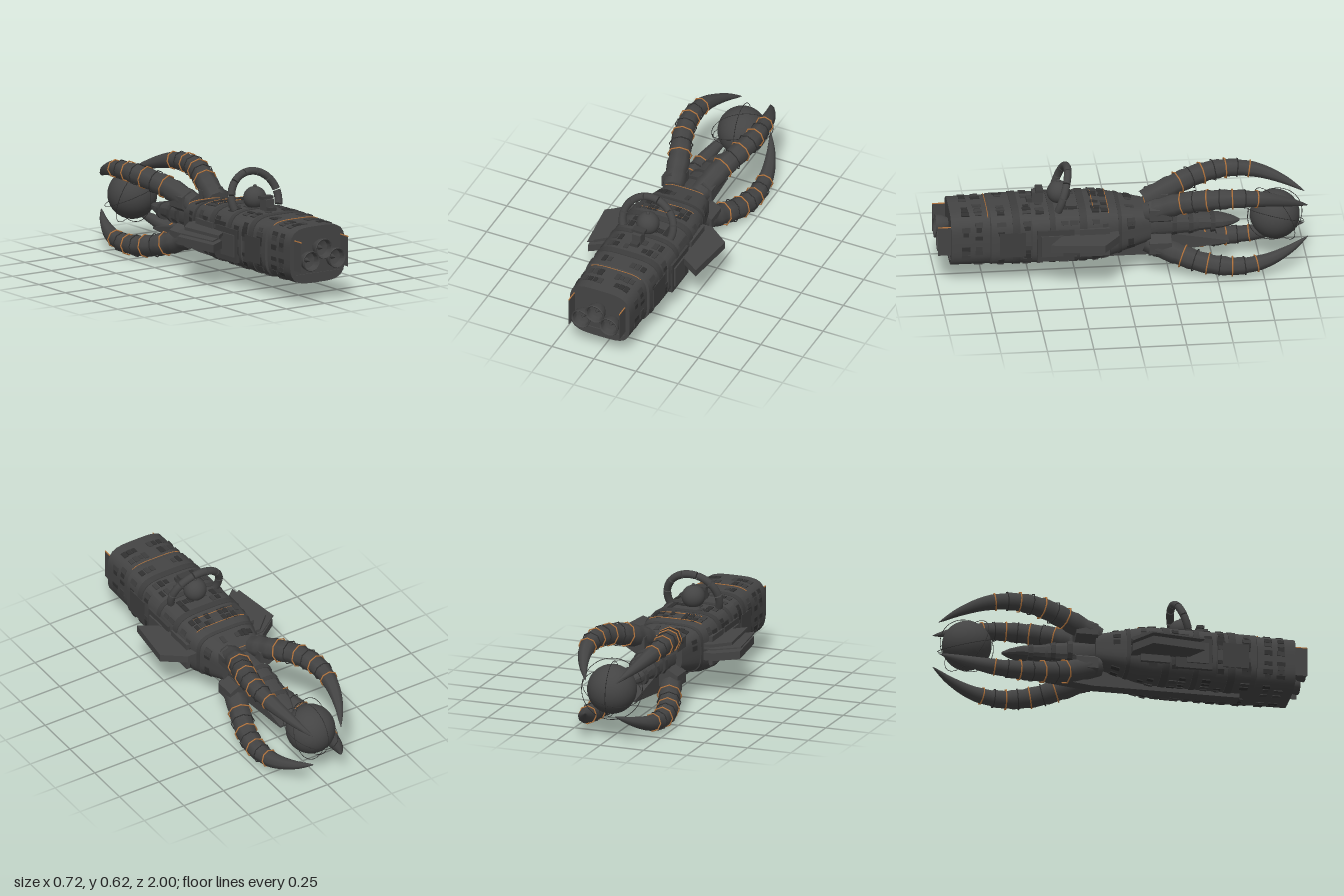
import * as THREE from 'three';
import { mergeGeometries, toCreasedNormals } from 'three/addons/utils/BufferGeometryUtils.js';

const mat = (name, color) => Object.assign(new THREE.MeshStandardMaterial({ color }), { name });
const hullGrey = mat('hull grey', 0x444444);
const plateGrey = mat('plate grey', 0x3d3d3d);
const darkGrey = mat('dark grey', 0x303030);
const copper = mat('copper', 0xb87840);
const AXIS = 0.262;

// Point on a rounded-square section [z, halfWidth, bottom, top]
function sectionPoint([z, w, yb, yt], a, n = 4, grow = 0) {
  const c = Math.cos(a), s = Math.sin(a);
  const k = 1 / Math.pow(Math.abs(c) ** n + Math.abs(s) ** n, 1 / n);
  return new THREE.Vector3((w + grow) * c * k, (yb + yt) / 2 + ((yt - yb) / 2 + grow) * s * k, z);
}

// Closed loft through sections ordered from high z to low z
function loft(sections, n = 4, sides = 40, crease = 0.5) {
  const pos = [], idx = [];
  for (const sec of sections)
    for (let j = 0; j < sides; j++) pos.push(...sectionPoint(sec, (j / sides) * Math.PI * 2, n).toArray());
  const last = (sections.length - 1) * sides, c0 = sections.length * sides;
  for (const sec of [sections[0], sections[sections.length - 1]]) pos.push(0, (sec[2] + sec[3]) / 2, sec[0]);
  for (let j = 0; j < sides; j++) {
    const k = (j + 1) % sides;
    for (let i = 0; i < last; i += sides)
      idx.push(i + j, i + sides + j, i + sides + k, i + j, i + sides + k, i + k);
    idx.push(c0, j, k, c0 + 1, last + k, last + j);
  }
  const g = new THREE.BufferGeometry();
  g.setAttribute('position', new THREE.Float32BufferAttribute(pos, 3));
  g.setIndex(idx);
  return toCreasedNormals(g, crease);
}

const HULL = [
  [0.93, 0.178, 0.106, 0.414], [0.72, 0.18, 0.105, 0.415], [0.715, 0.192, 0.104, 0.418],
  [0.5, 0.194, 0.104, 0.418], [0.495, 0.2, 0.105, 0.414], [0.15, 0.2, 0.108, 0.412],
  [0.08, 0.19, 0.12, 0.405], [-0.15, 0.13, 0.185, 0.362],
];

function hullSection(z) {
  let i = 0;
  while (i < HULL.length - 2 && HULL[i + 1][0] > z) i++;
  const t = (z - HULL[i][0]) / (HULL[i + 1][0] - HULL[i][0]);
  return HULL[i].map((v, k) => v + (HULL[i + 1][k] - v) * t);
}

// Thin box lying on the hull at angle a
function hullPlate(a, z, across, along, thick = 0.008) {
  const p = sectionPoint(hullSection(z), a);
  const du = sectionPoint(hullSection(z), a + 0.02).sub(p).normalize();
  const dz = sectionPoint(hullSection(z - 0.01), a).sub(p).normalize();
  const out = new THREE.Vector3().crossVectors(dz, du).normalize();
  if (out.x * Math.cos(a) + out.y * Math.sin(a) < 0) out.negate();
  const zz = new THREE.Vector3().crossVectors(du, out);
  const m = new THREE.Matrix4().makeBasis(du, out, zz).setPosition(p);
  return new THREE.BoxGeometry(across, thick, along).applyMatrix4(m);
}

export function createModel() {
  const root = new THREE.Group();
  const add = (name, geo, material, x = 0, y = 0, z = 0, parent = root) => {
    const m = new THREE.Mesh(geo, material);
    m.name = name;
    m.position.set(x, y, z);
    parent.add(m);
    return m;
  };
  const box = (name, w, h, d, material, x, y, z) => add(name, new THREE.BoxGeometry(w, h, d), material, x, y, z);

  // Hull and its raised belts
  add('hull', loft(HULL), hullGrey);
  for (const [z0, z1] of [[0.6, 0.56], [0.4, 0.37], [0.24, 0.2], [0.03, 0.01]]) {
    const belt = [z0, z1].map(z => { const [a, w, b, t] = hullSection(z); return [a, w + 0.005, b - 0.004, t + 0.004]; });
    add('hullBelt', loft(belt), plateGrey);
  }

  // Rows of small panels wrapped around the hull, seeded so some are skipped
  let seed = 7;
  const rnd = () => (seed = (seed * 16807) % 2147483647) / 2147483647;
  const light = [], dark = [];
  for (const z of [0.85, 0.78, 0.66, 0.52, 0.45, 0.32, 0.27, 0.15, 0.1, -0.04])
    for (let q = 0; q < 4; q++)
      for (const off of [-0.62, -0.48, -0.34, -0.2, 0.2, 0.34, 0.48, 0.62]) {
        if (rnd() < 0.3) continue;
        (rnd() < 0.5 ? light : dark).push(hullPlate(q * Math.PI / 2 + off, z, 0.02 + rnd() * 0.008, 0.03 + rnd() * 0.02));
      }
  add('hullPanels', mergeGeometries(light), plateGrey);
  add('hullWindows', mergeGeometries(dark), darkGrey);

  // Layered side armour
  for (const s of [-1, 1]) {
    box('sideArmour', 0.02, 0.18, 0.2, plateGrey, s * 0.2, 0.24, 0.37);
    box('sideArmour', 0.02, 0.16, 0.16, hullGrey, s * 0.202, 0.25, 0.16);
    box('sideArmourOuter', 0.016, 0.12, 0.12, hullGrey, s * 0.211, 0.24, 0.39);
    box('sideArmourRear', 0.014, 0.14, 0.14, plateGrey, s * 0.192, 0.25, 0.6);
  }

  // Copper trim lines arched over the hull
  for (const [z, half] of [[0.73, 0.75], [0.08, 0.72], [0.16, 0.55], [-0.13, 0.8]]) {
    const pts = Array.from({ length: 13 }, (_, i) =>
      sectionPoint(hullSection(z), Math.PI / 2 + half * (i / 6 - 1), 4, 0.003));
    add('copperTrim', new THREE.TubeGeometry(new THREE.CatmullRomCurve3(pts), 24, 0.0025, 4), copper);
  }

  // Engines
  const bell = [[0.032, 0], [0.05, 0.035], [0.055, 0.065], [0.052, 0.07], [0.046, 0.065], [0.043, 0.03], [0.001, 0.015]]
    .map(p => new THREE.Vector2(...p));
  for (const [x, y] of [[0, 0.3], [-0.083, 0.24], [0.083, 0.24]]) {
    const g = new THREE.Group();
    g.name = 'engine';
    g.position.set(x, y, 0.928);
    g.rotation.x = Math.PI / 2;
    root.add(g);
    add('engineBell', toCreasedNormals(new THREE.LatheGeometry(bell, 28), 0.5), hullGrey, 0, 0, 0, g);
    add('engineCone', new THREE.ConeGeometry(0.016, 0.04, 16), plateGrey, 0, 0.035, 0, g);
  }
  for (const s of [-1, 1]) {
    box('engineFin', 0.004, 0.165, 0.07, hullGrey, s * 0.15, 0.268, 0.963);
    box('engineFinTrim', 0.005, 0.005, 0.07, copper, s * 0.15, 0.35, 0.965);
  }
  box('engineSill', 0.3, 0.004, 0.01, hullGrey, 0, 0.158, 0.932);

  // Keel blade
  const keel = new THREE.Shape([[0.65, 0.08], [0.65, 0.115], [0.1, 0.13], [-0.12, 0.2], [-0.25, 0.2], [-0.58, 0.14], [-0.58, 0.128], [-0.15, 0.08]]
    .map(([z, y]) => new THREE.Vector2(-z, y)));
  const keelGeo = new THREE.ExtrudeGeometry(keel, { depth: 0.07, bevelEnabled: false }).translate(0, 0, -0.035).rotateY(Math.PI / 2);
  add('keel', keelGeo, hullGrey);

  // Side wings: one slab on the left, a stack on the right
  const wing = (side, y, h, reach) => {
    const pts = [[0.17, 0.03], [0.235, 0.03], [0.355, 0.12], [0.32, 0.41], [0.17, 0.31]]
      .map(([x, z]) => new THREE.Vector2(side * (0.17 + (x - 0.17) * reach), -z));
    const g = new THREE.ExtrudeGeometry(new THREE.Shape(pts), { depth: h, bevelEnabled: false }).rotateX(-Math.PI / 2);
    add('wing', g, hullGrey, 0, y, 0);
  };
  wing(1, 0.255, 0.042, 1);
  wing(-1, 0.21, 0.043, 1);
  wing(-1, 0.27, 0.007, 1.03);
  wing(-1, 0.283, 0.017, 0.76);

  // Nose spike between the claws
  add('noseSpike', loft([[-0.1, 0.11, 0.19, 0.35], [-0.2, 0.085, 0.19, 0.335], [-0.4, 0.073, 0.203, 0.305], [-0.415, 0.066, 0.207, 0.3],
    [-0.54, 0.058, 0.217, 0.282], [-0.6, 0.035, 0.227, 0.267], [-0.64, 0.008, 0.24, 0.25]], 3, 16), hullGrey);
  for (const z of [-0.27, -0.36, -0.48]) {
    const w = 0.075 + (z + 0.36) * 0.12;
    add('spikeBand', loft([[z, w + 0.012, 0.195, 0.315 + (z + 0.36) * 0.16], [z - 0.025, w + 0.008, 0.2, 0.308 + (z + 0.36) * 0.16]], 3, 16), plateGrey);
  }

  // Four curved claws with overlapping segments and rings
  const PATH = [[0.075, 0.085, -0.13], [0.12, 0.15, -0.3], [0.17, 0.187, -0.45], [0.193, 0.2, -0.6], [0.182, 0.185, -0.75], [0.14, 0.142, -0.89], [0.086, 0.092, -1]];
  const radius = t => 0.062 * Math.pow(Math.max(0, 1 - Math.pow(t, 2.6)), 0.85) + 0.001;
  const N = 40;
  for (const sx of [-1, 1]) for (const sy of [-1, 1]) {
    const curve = new THREE.CatmullRomCurve3(PATH.map(([x, y, z]) => new THREE.Vector3(sx * x, AXIS + sy * y, z)));
    const geo = new THREE.TubeGeometry(curve, N, 1, 8);
    const pos = geo.attributes.position, v = new THREE.Vector3();
    for (let i = 0; i <= N; i++) {
      const p = curve.getPointAt(i / N);
      const r = radius(i / N) * (i < 28 ? 0.92 + 0.03 * (i % 4) : 1);
      for (let j = 0; j <= 8; j++) {
        const k = i * 9 + j;
        v.fromBufferAttribute(pos, k).sub(p).multiplyScalar(r).add(p);
        pos.setXYZ(k, v.x, v.y, v.z);
      }
    }
    add('claw', toCreasedNormals(geo, 0.9), hullGrey);
    for (const [i, z] of [-0.32, -0.385, -0.45, -0.515, -0.58, -0.645, -0.71].entries()) {
      let t = 0;
      while (curve.getPointAt(t).z > z) t += 0.005;
      const isCopper = i % 2 === 0;
      const p = curve.getPointAt(t);
      const ring = add(isCopper ? 'clawRing' : 'clawSeam',
        new THREE.TorusGeometry(radius(t) + 0.003, isCopper ? 0.004 : 0.003, 5, 8), isCopper ? copper : darkGrey, p.x, p.y, p.z);
      ring.lookAt(p.clone().add(curve.getTangentAt(t)));
    }
    // Claw socket
    const socket = new THREE.CylinderGeometry(0.062, 0.062, 0.12, 6).rotateX(Math.PI / 2);
    add('clawSocket', toCreasedNormals(socket, 0.4), hullGrey, sx * 0.095, AXIS + sy * 0.098, -0.2);
  }

  // Held orb with wire hoops
  add('orb', new THREE.SphereGeometry(0.134, 32, 20), hullGrey, 0, 0.27, -0.83);
  for (const [rx, ry, r] of [[0.4, 0.5, 0.165], [1.3, 0.3, 0.16], [0.2, 1.7, 0.15]])
    add('orbHoop', new THREE.TorusGeometry(r, 0.0018, 4, 48), darkGrey, 0, 0.27, -0.83).rotation.set(rx, ry, 0);

  // Dome, its knob and the cabin box
  add('dome', new THREE.SphereGeometry(0.063, 28, 18), hullGrey, 0, 0.46, 0.335);
  add('domeKnob', new THREE.SphereGeometry(0.011, 12, 8), hullGrey, 0, 0.523, 0.335);
  box('cabin', 0.05, 0.07, 0.06, hullGrey, 0, 0.44, 0.45);
  box('cabinRoof', 0.072, 0.016, 0.04, plateGrey, 0, 0.482, 0.44);
  box('cabinStep', 0.044, 0.03, 0.04, plateGrey, 0, 0.422, 0.49);

  // Leaning arch of seven capped segments
  const arch = new THREE.Group();
  arch.name = 'arch';
  arch.position.set(0, 0.4, 0.355);
  arch.rotation.x = -0.33;
  root.add(arch);
  const span = 0.5;
  for (let k = -3; k <= 3; k++) {
    const cap = new THREE.CircleGeometry(0.021, 12);
    const parts = [new THREE.TorusGeometry(0.149, 0.021, 12, 8, span),
      cap.clone().rotateX(Math.PI / 2).translate(0.149, 0, 0),
      cap.clone().rotateX(-Math.PI / 2).translate(0.149, 0, 0).rotateZ(span)];
    add('archSegment', mergeGeometries(parts), hullGrey, 0, 0.06, 0, arch).rotation.z = Math.PI / 2 + k * 0.545 - span / 2;
  }
  return root;
}
